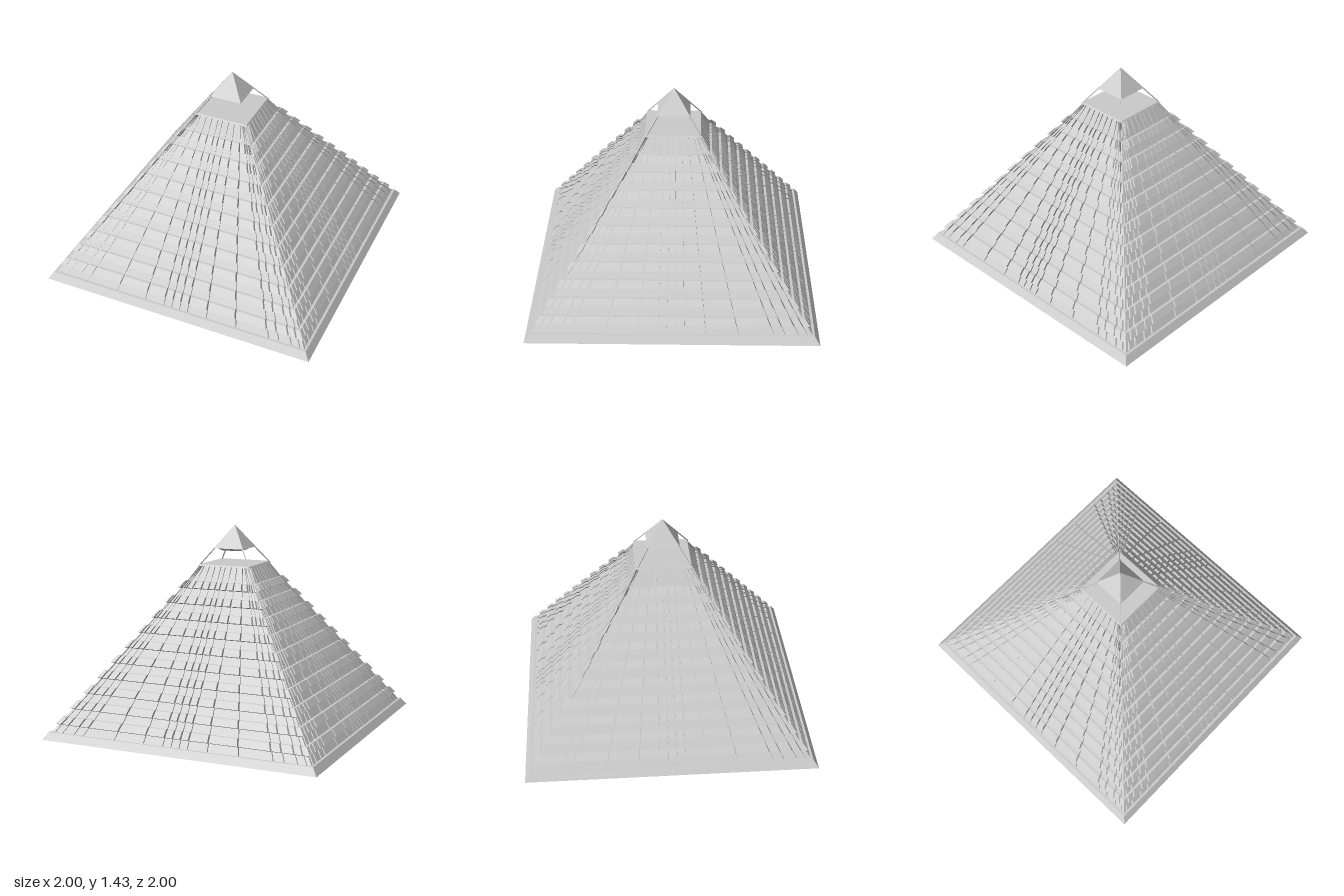
import * as THREE from 'three';

const APEX = 1.43;          // height where the four slopes meet
const DECK = 1.16;          // top of the stone body
const material = new THREE.MeshStandardMaterial({ color: 0xcccccc, flatShading: true });
const envelope = y => 1 - y / APEX;

// Square frustum between two heights
function frustum(name, y0, half0, y1, half1) {
  const geometry = new THREE.CylinderGeometry(half1 * Math.SQRT2, half0 * Math.SQRT2, y1 - y0, 4);
  geometry.rotateY(Math.PI / 4).translate(0, (y0 + y1) / 2, 0);
  const mesh = new THREE.Mesh(geometry, material);
  mesh.name = name;
  return mesh;
}

// Vertical joints: x at the foot and x at the deck, leaning in with the slope
const halfJoints = [
  [0.03, 0.016], [0.09, 0.062], [0.235, 0.103], [0.455, 0.143],
  [0.695, 0.158], [0.77, 0.166], [0.86, 0.174], [0.92, 0.18],
];
const joints = [...halfJoints.map(([a, b]) => [-a, -b]).reverse(), ...halfJoints];
const GAP = 0.0055;

function jointX(index, y, half, offset) {
  if (index < 0) return -half;
  if (index >= joints.length) return half;
  const [foot, top] = joints[index];
  const x = THREE.MathUtils.lerp(foot, top, (y - 0.05) / (DECK - 0.05)) + offset;
  return THREE.MathUtils.clamp(x, -half, half);
}

// One block: a course cross-section [half, y] stretched between two joints
function addBlock(out, section, index) {
  const left = section.map(([h, y]) => [jointX(index - 1, y, h, GAP), y, h]);
  const right = section.map(([h, y]) => [jointX(index, y, h, -GAP), y, h]);
  const quad = (a, b, c, d) => out.push(...a, ...b, ...c, ...a, ...c, ...d);
  for (let i = 0; i < 3; i++) quad(left[i], right[i], right[i + 1], left[i + 1]);
  quad(...left);
  quad(...[...right].reverse());
}

// All blocks of one face of the pyramid
function faceGeometry() {
  const out = [];
  const addCourse = (y0, y1, inset0, inset1, lip) => {
    const section = [
      [envelope(y0) - 0.034, y0 - lip],
      [envelope(y0) - inset0, y0 + lip * 0.6],
      [envelope(y1) - inset1, y1],
      [envelope(y1) - 0.034, y1],
    ];
    for (let i = 0; i <= joints.length; i++) addBlock(out, section, i);
  };
  for (let k = 0; k < 10; k++) {
    const y = 0.05 + k * 0.1;
    addCourse(y, y + 0.05, 0.017, 0.017, 0);          // recessed course
    addCourse(y + 0.05, y + 0.1, 0, 0, 0.011);        // projecting course
  }
  addCourse(1.05, 1.15, 0.016, 0.006, 0);             // tall top course
  const geometry = new THREE.BufferGeometry();
  geometry.setAttribute('position', new THREE.Float32BufferAttribute(out, 3));
  geometry.computeVertexNormals();
  return geometry;
}

export function createModel() {
  const group = new THREE.Group();

  // Plinth, core behind the joints, and deck
  group.add(frustum('plinth', 0, 1, 0.05, envelope(0.05)));
  group.add(frustum('core', 0.04, envelope(0.04) - 0.03, 1.155, envelope(1.155) - 0.02));
  group.add(frustum('deck', 1.15, envelope(1.15), DECK, envelope(DECK)));

  // Four faces of coursed blocks
  const face = faceGeometry();
  for (let i = 0; i < 4; i++) {
    const mesh = new THREE.Mesh(face, material);
    mesh.name = 'blockFace';
    mesh.rotation.y = i * Math.PI / 2;
    group.add(mesh);
  }

  // Thin corner struts carrying the capstone
  for (const sx of [-1, 1]) for (const sz of [-1, 1]) {
    const at = y => {
      const h = envelope(y) - 0.005;
      return new THREE.Vector3(sx * h, y, sz * h);
    };
    const path = new THREE.LineCurve3(at(DECK - 0.008), at(1.28));
    const strut = new THREE.Mesh(new THREE.TubeGeometry(path, 1, 0.005, 4), material);
    strut.name = 'strut';
    group.add(strut);
  }

  // Floating capstone with a tapered underside
  group.add(frustum('capUnderside', 1.25, 0.065, 1.268, 0.095));
  group.add(frustum('capstone', 1.268, envelope(1.268), APEX, 0));
  return group;
}
